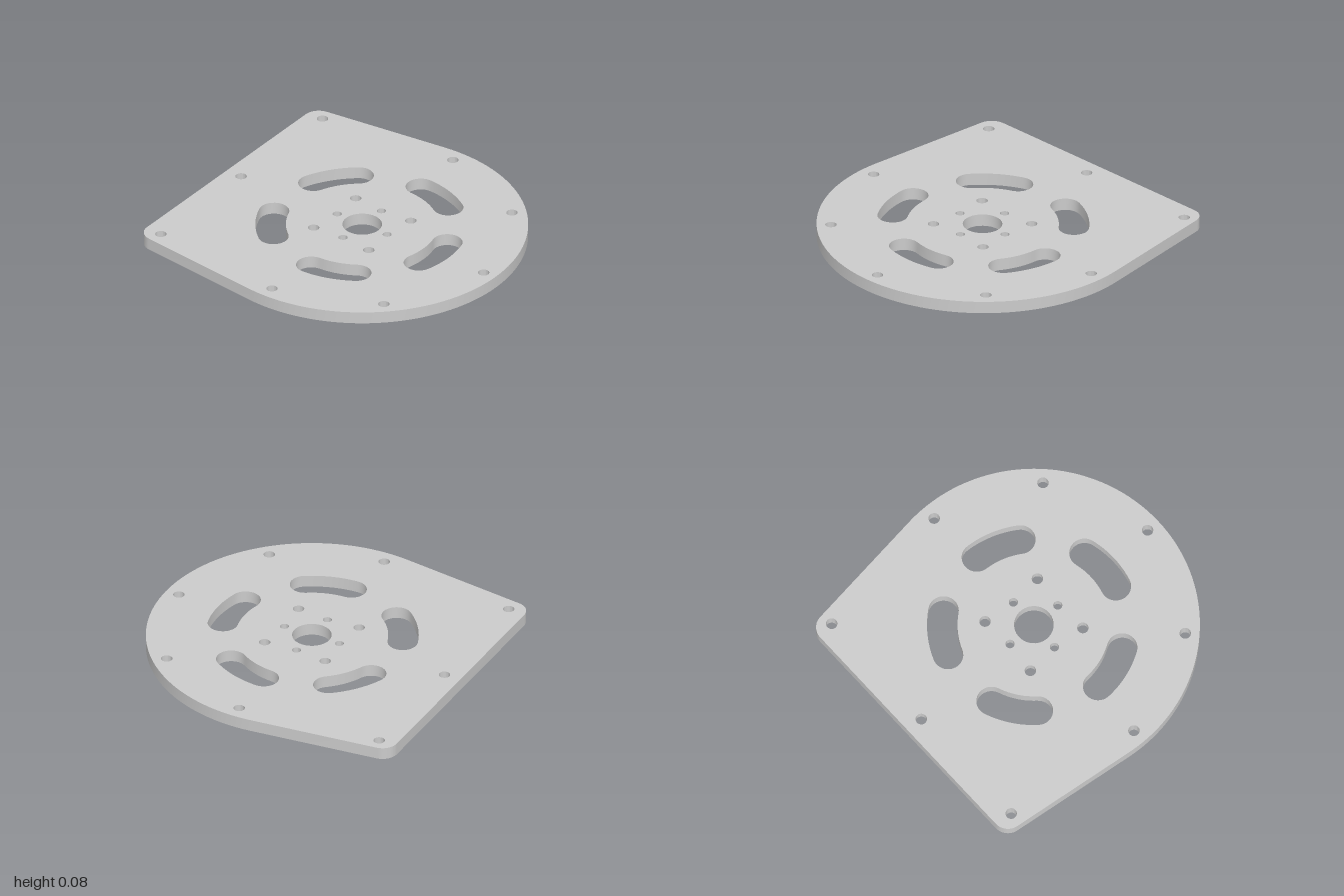
import * as THREE from 'three';
import { toCreasedNormals } from 'three/addons/utils/BufferGeometryUtils.js';

const T = 0.067;              // plate thickness
const C = [0.13, 0.107];      // centre of the round part, as [x, z]
const SINK = 0.023;           // countersink depth
const rad = THREE.MathUtils.degToRad;

// Points [x, z] on an arc, angles in degrees from +x towards +z
function arc([cx, cz], r, from, to, n) {
  return Array.from({ length: n + 1 }, (_, i) => {
    const a = rad(from + (to - from) * i / n);
    return [cx + r * Math.cos(a), cz + r * Math.sin(a)];
  });
}

// Plate outline: large disc joined by tangents to two rounded corners
const outline = [
  ...arc([-0.205, -0.895], 0.085, 210.6, 294.1, 14),
  ...arc(C, 0.87, -65.9, 126.5, 72),
  ...arc([-0.915, 0.3], 0.085, 126.5, 210.6, 14),
];

// Curved slot with round ends, centred on angle mid
function slotLoop(mid) {
  const R = 0.48, r = 0.08, a0 = mid - 15, a1 = mid + 15;
  const end = (a) => arc(C, R, a, a, 1)[0];
  return [
    ...arc(C, R + r, a0, a1, 12),
    ...arc(end(a1), r, a1, a1 + 180, 16).slice(1),
    ...arc(C, R - r, a1, a0, 12).slice(1),
    ...arc(end(a0), r, a0 + 180, a0 + 360, 16).slice(1, -1),
  ];
}
const slots = [0, 1, 2, 3, 4].map((k) => slotLoop(102.7 + 72 * k));

// Round holes: position, radius, and radius at the underside
const holes = [{ at: C, r: 0.104, low: 0.104 }];
const addHoles = (list, r, low) => list.forEach((at) => holes.push({ at, r, low }));
addHoles([[-0.187, -0.904], [0.535, -0.572], [0.898, -0.09], [0.813, 0.513],
  [0.326, 0.877], [-0.273, 0.787], [-0.909, 0.316]], 0.03, 0.03);
addHoles([[-0.551, -0.294]], 0.03, 0.053);
for (let k = 0; k < 4; k++) {
  addHoles([arc(C, 0.257, 256.3 + 90 * k, 0, 1)[0]], 0.03, 0.053);
  addHoles([arc(C, 0.165, 211.5 + 90 * k, 0, 1)[0]], 0.024, 0.044);
}

// Flat face with all openings; s = -1 for the top, 1 for the underside
function face(s) {
  const pts = (loop) => loop.map(([x, z]) => new THREE.Vector2(x, s * z));
  const shape = new THREE.Shape(pts(outline));
  slots.forEach((l) => shape.holes.push(new THREE.Path(pts(l))));
  holes.forEach(({ at, r, low }) => {
    const loop = arc(at, s > 0 ? low : r, 0, 360, 32).slice(0, -1);
    shape.holes.push(new THREE.Path(pts(loop)));
  });
  const g = new THREE.ShapeGeometry(shape).rotateX(s * Math.PI / 2);
  return s < 0 ? g.translate(0, T, 0) : g;
}

// Vertical wall along a closed loop
function wall(loop) {
  const v = [];
  loop.forEach(([x0, z0], i) => {
    const [x1, z1] = loop[(i + 1) % loop.length];
    v.push(x0, 0, z0, x0, T, z0, x1, 0, z1, x1, 0, z1, x0, T, z0, x1, T, z1);
  });
  const g = new THREE.BufferGeometry();
  g.setAttribute('position', new THREE.Float32BufferAttribute(v, 3));
  return toCreasedNormals(g, 0.6);
}

// Inside of a round hole, with its cone where countersunk
function bore({ at, r, low }) {
  const profile = [new THREE.Vector2(r, T)];
  if (low > r) profile.push(new THREE.Vector2(r, SINK));
  profile.push(new THREE.Vector2(low, 0));
  const g = new THREE.LatheGeometry(profile, 32, Math.PI / 2);
  return toCreasedNormals(g, 0.6).translate(at[0], 0, at[1]);
}

export function createModel() {
  const model = new THREE.Group();
  model.name = 'mountingPlate';
  const material = new THREE.MeshStandardMaterial({ color: 0xcccccc });
  const plate = new THREE.Group();
  plate.name = 'plate';
  const add = (name, geometry) => {
    const mesh = new THREE.Mesh(geometry, material);
    mesh.name = name;
    plate.add(mesh);
  };

  add('topFace', face(-1));
  add('undersideFace', face(1));
  add('outerEdge', wall(outline));
  slots.forEach((l, i) => add(`slotWall${i + 1}`, wall([...l].reverse())));
  holes.forEach((h, i) => add(i ? `boltHole${i}` : 'centreBore', bore(h)));

  // The plate leans very slightly, its front edge higher
  plate.rotation.x = -0.0045;
  plate.position.y = 0.0044;
  model.add(plate);
  return model;
}
